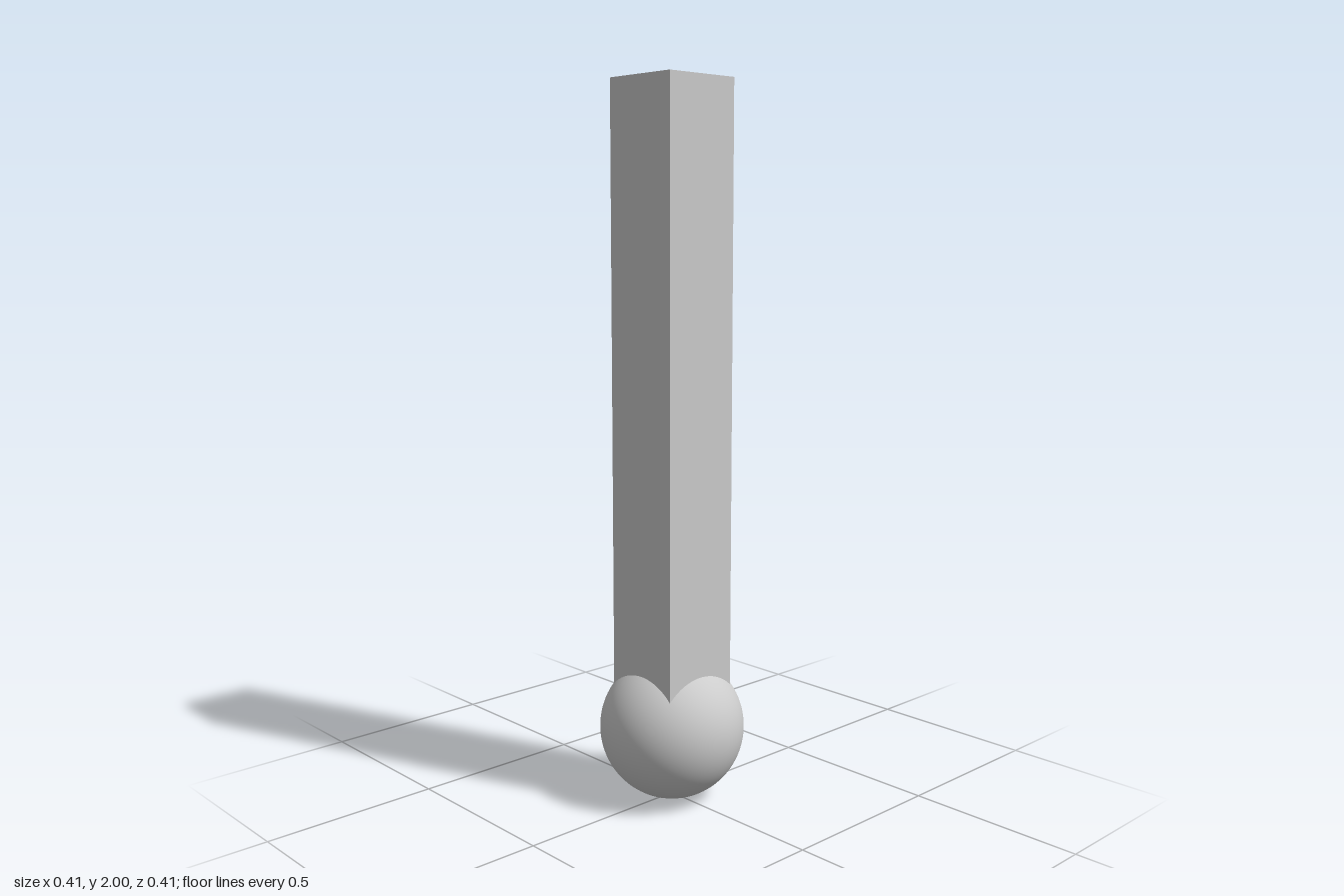
import * as THREE from 'three';

const RADIUS = 0.205;
const WIDTH = 0.233;
const HEIGHT = 2;

export function createModel() {
  const model = new THREE.Group();
  const material = new THREE.MeshStandardMaterial({ color: 0xcccccc });

  // Round ball at the foot
  const ball = new THREE.Mesh(new THREE.SphereGeometry(RADIUS, 96, 64), material);
  ball.name = 'ball';
  ball.position.y = RADIUS;

  // Square post rising from the centre of the ball
  const length = HEIGHT - RADIUS;
  const post = new THREE.Mesh(new THREE.BoxGeometry(WIDTH, length, WIDTH), material);
  post.name = 'post';
  post.position.y = RADIUS + length / 2;

  model.add(ball, post);
  return model;
}
